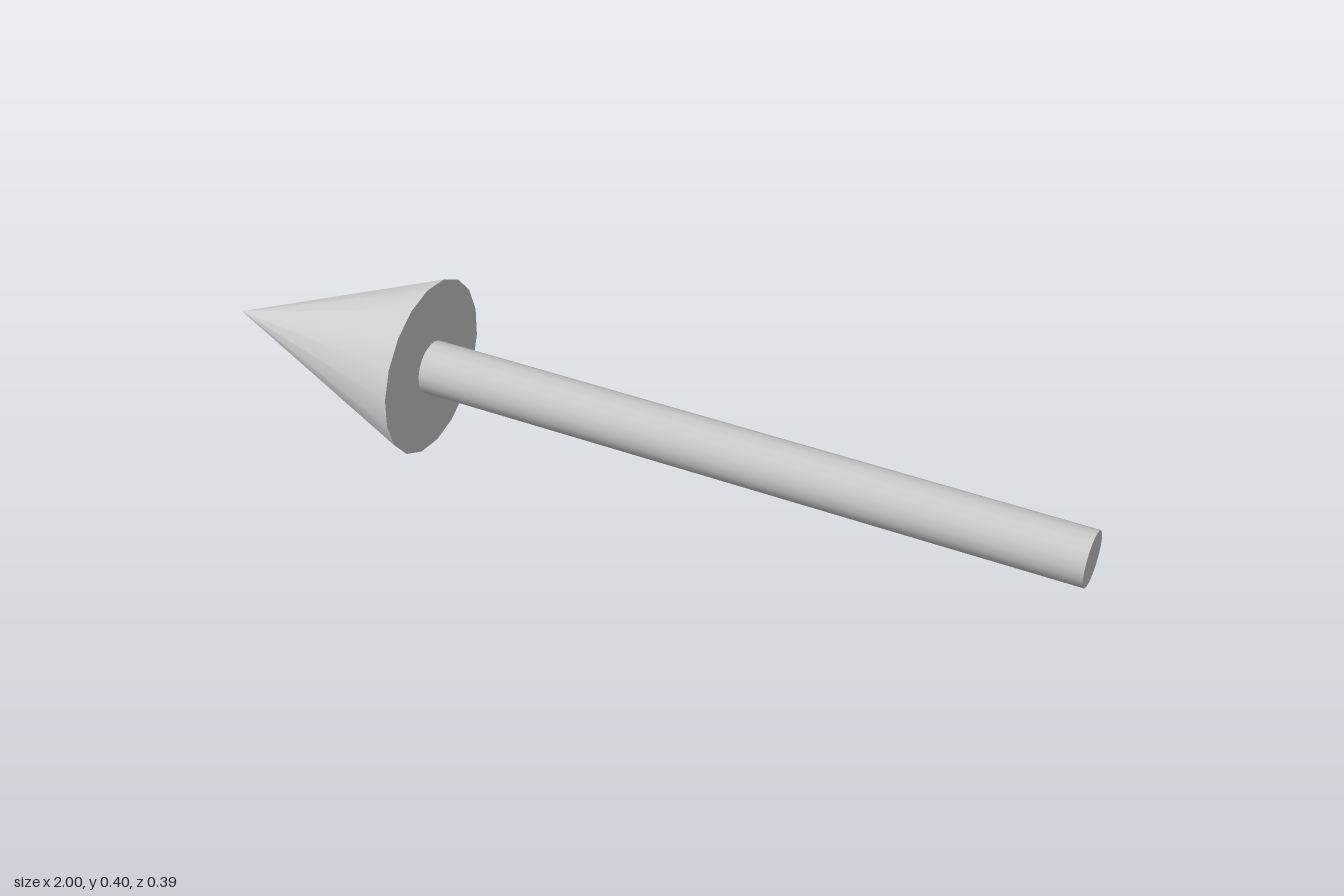
import * as THREE from 'three';

const SIDES = 18;
const AXIS_HEIGHT = 0.2;

export function createModel() {
  const group = new THREE.Group();
  group.name = 'arrow';
  const material = new THREE.MeshStandardMaterial({ color: 0xcccccc });

  // Round part lying along x, its tip end towards -x, with a corner at the top
  function addPart(name, tipRadius, baseRadius, fromX, toX) {
    const geometry = new THREE.CylinderGeometry(
      tipRadius, baseRadius, toX - fromX, SIDES, 1, false, Math.PI / 2);
    geometry.rotateZ(Math.PI / 2);
    const mesh = new THREE.Mesh(geometry, material);
    mesh.name = name;
    mesh.position.set((fromX + toX) / 2, AXIS_HEIGHT, 0);
    group.add(mesh);
  }

  addPart('arrowHead', 0, 0.2, -1, -0.5);
  addPart('shaft', 0.06, 0.06, -0.5, 1);

  return group;
}
